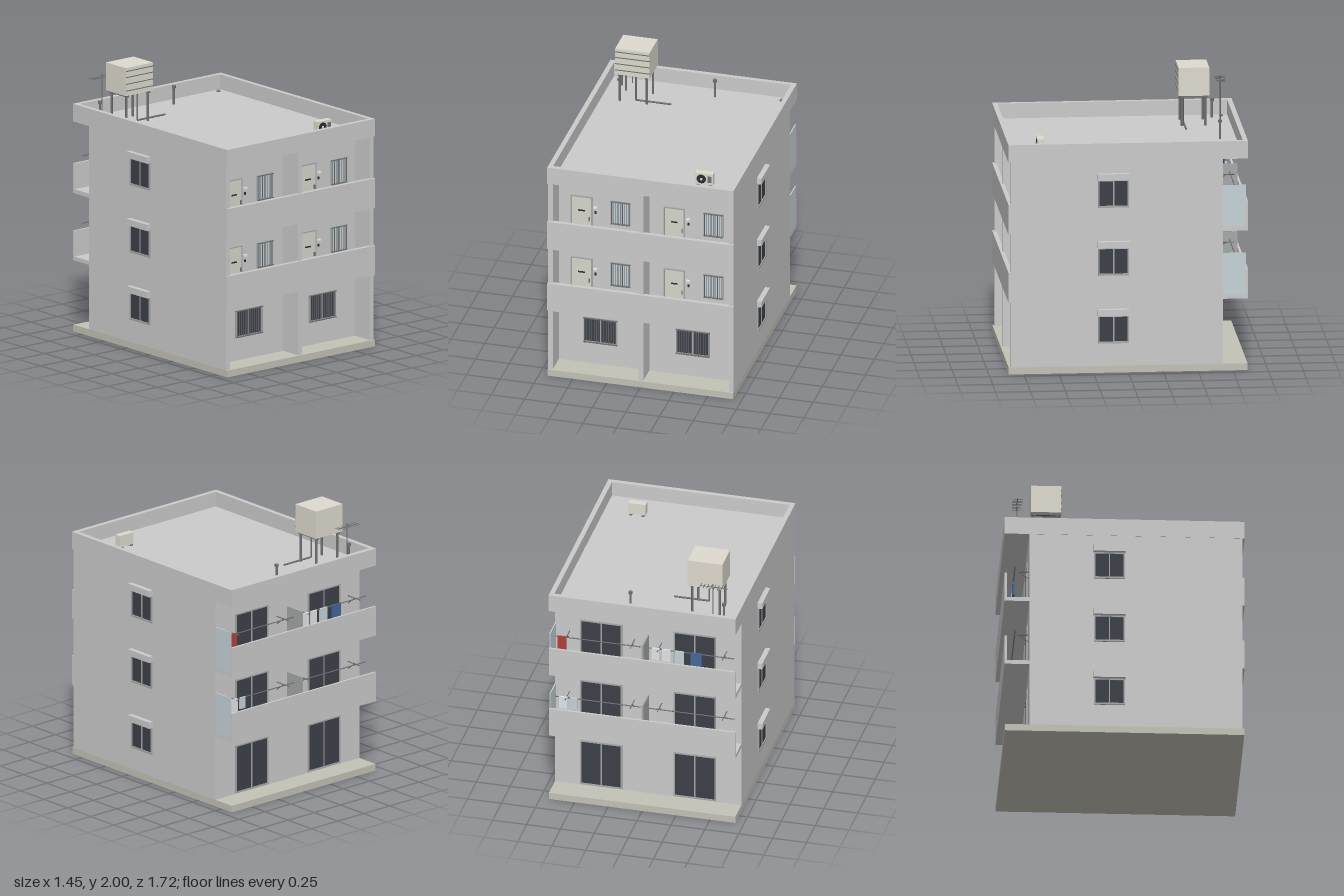
import * as THREE from 'three';

const mat = (color) => new THREE.MeshStandardMaterial({ color });
const grey = mat(0xcccccc), base = mat(0xc4c2b6), dark = mat(0x3c4048), cream = mat(0xdedace),
  doorMat = mat(0xd6d6cc), metal = mat(0x707274), frameMat = mat(0xa6a8a8), glass = mat(0xc6d3d9),
  black = mat(0x2c2c2e), red = mat(0xb04038), blue = mat(0x46669a), white = mat(0xe2e6e8);

const W = 0.688, WALL = 0.68, STOREY = 0.497;

function add(parent, name, geometry, material) {
  const m = new THREE.Mesh(geometry, material);
  m.name = name;
  parent.add(m);
  return m;
}
// Box given by its minimum and maximum on each axis
function box(parent, name, x0, x1, y0, y1, z0, z1, material = grey) {
  const m = add(parent, name, new THREE.BoxGeometry(x1 - x0, y1 - y0, z1 - z0), material);
  m.position.set((x0 + x1) / 2, (y0 + y1) / 2, (z0 + z1) / 2);
  return m;
}
// Round rod between two points
function rod(parent, name, a, b, r, material = metal, sides = 8) {
  const p = new THREE.Vector3(...a), q = new THREE.Vector3(...b);
  const m = add(parent, name, new THREE.CylinderGeometry(r, r, p.distanceTo(q), sides), material);
  m.position.copy(p).add(q).multiplyScalar(0.5);
  m.quaternion.setFromUnitVectors(new THREE.Vector3(0, 1, 0), q.sub(p).normalize());
  return m;
}
// Rectangular ring in the XY plane, extruded along +z
function ring(w, h, t, depth) {
  const s = new THREE.Shape(), o = new THREE.Path();
  const rect = (p, a, b) => p.moveTo(-a, -b).lineTo(a, -b).lineTo(a, b).lineTo(-a, b).closePath();
  rect(s, w / 2, h / 2);
  rect(o, w / 2 - t, h / 2 - t);
  s.holes.push(o);
  return new THREE.ExtrudeGeometry(s, { depth, bevelEnabled: false });
}
// Sliding window facing +z, centred on its own origin
function slidingWindow(name, w, h, pane, bars = 0) {
  const g = new THREE.Group();
  g.name = name;
  add(g, 'windowFrame', ring(w, h, 0.01, 0.01), frameMat);
  box(g, 'windowPane', -w / 2 + 0.008, w / 2 - 0.008, -h / 2 + 0.008, h / 2 - 0.008, -0.005, 0.003, pane);
  box(g, 'windowMullion', -0.005, 0.005, -h / 2 + 0.01, h / 2 - 0.01, 0, 0.007, frameMat);
  for (let i = 0; i < bars; i++) {
    const x = -w / 2 + (w * (i + 0.5)) / bars;
    rod(g, 'windowBar', [x, -h / 2, 0.017], [x, h / 2, 0.017], 0.0025, metal, 6);
  }
  if (bars) for (const y of [-h / 2 + 0.004, h / 2 - 0.004])
    box(g, 'barRail', -w / 2, w / 2, y - 0.003, y + 0.003, 0.008, 0.02, metal);
  return g;
}
function place(parent, obj, x, y, z, ry = 0) {
  obj.position.set(x, y, z);
  obj.rotation.y = ry;
  parent.add(obj);
}

// Entrance door with letter slot, bell and lamp
function entrance(parent, x, floor) {
  const g = new THREE.Group(), w = 0.155, h = 0.34;
  g.name = 'entranceDoor';
  box(g, 'doorLeaf', -w / 2 + 0.006, w / 2 - 0.006, 0, h - 0.006, 0, 0.008, doorMat);
  for (const s of [-1, 1])
    box(g, 'doorJamb', s * (w / 2 - 0.003) - 0.004, s * (w / 2 - 0.003) + 0.004, 0, h, 0, 0.012, frameMat);
  box(g, 'doorHead', -w / 2, w / 2, h - 0.008, h, 0, 0.012, frameMat);
  box(g, 'letterSlot', -0.025, 0.025, 0.221, 0.231, 0.006, 0.012, black);
  box(g, 'doorHandle', 0.056, 0.062, 0.15, 0.18, 0.006, 0.02, metal);
  box(g, 'doorBell', 0.098, 0.11, 0.212, 0.23, 0, 0.01, black);
  box(g, 'wallLamp', 0.09, 0.118, 0.255, 0.267, 0, 0.02, white);
  place(parent, g, x, floor, WALL);
}

function balconyAndCorridor(parent, k) {
  const y = 0.525 + (k - 1) * STOREY, f = y + 0.03;
  const g = new THREE.Group();
  g.name = 'upperStorey';
  parent.add(g);
  box(g, 'corridorSlab', -W, W, y, f, WALL, 0.84);
  box(g, 'corridorParapet', -W - 0.002, W + 0.002, y, y + 0.22, 0.83, 0.86);
  box(g, 'balconySlab', -W, W, y, f, -0.845, -WALL);
  box(g, 'balconyParapet', -W, W, y, y + 0.22, -0.857, -0.84);
  box(g, 'balconyScreen', W - 0.008, W, f, y + 0.335, -0.842, -WALL, glass);
  box(g, 'balconyDivider', -0.006, 0.006, f, y + 0.335, -0.842, -WALL, frameMat);
  for (const x of [-0.483, 0.205]) {
    entrance(g, x, f);
    place(g, slidingWindow('corridorWindow', 0.145, 0.185, glass, 9), x + 0.29, y + 0.27, WALL);
  }
  // Laundry poles on wall brackets
  const py = y + 0.285, pz = -0.78;
  for (const s of [-1, 1]) {
    rod(g, 'laundryPole', [s * 0.03, py, pz], [s * 0.66, py, pz], 0.004);
    for (const x of [0.1, 0.58]) {
      rod(g, 'poleArm', [s * x, py - 0.005, -WALL], [s * x, py - 0.005, -0.81], 0.004);
      rod(g, 'poleBrace', [s * x, py - 0.06, -WALL], [s * x, py - 0.005, -0.75], 0.003);
    }
  }
  const laundry = k === 2
    ? [[0.61, 0.065, 0.13, red], [-0.08, 0.06, 0.09, white], [-0.16, 0.06, 0.09, white], [-0.255, 0.07, 0.1, glass], [-0.38, 0.08, 0.11, blue]]
    : [[0.6, 0.065, 0.09, white], [0.52, 0.05, 0.08, glass]];
  for (const [x, w, h, m] of laundry)
    box(g, 'laundry', x - w / 2, x + w / 2, py - h, py + 0.005, pz - 0.006, pz + 0.006, m);
}

function waterTank(parent) {
  const g = new THREE.Group();
  g.name = 'waterTank';
  parent.add(g);
  box(g, 'tankBody', -0.543, -0.287, 1.793, 2, -0.663, -0.443, cream);
  for (const y of [1.83, 1.88, 1.93, 1.975])
    box(g, 'tankRib', -0.543, -0.287, y - 0.003, y + 0.003, -0.445, -0.439, metal);
  for (const x of [-0.515, -0.315]) {
    for (const z of [-0.635, -0.47]) rod(g, 'tankLeg', [x, 1.57, z], [x, 1.795, z], 0.009);
    box(g, 'tankBeam', x - 0.01, x + 0.01, 1.778, 1.793, -0.655, -0.45, metal);
  }
  rod(g, 'tankDownPipe', [-0.4, 1.585, -0.485], [-0.4, 1.795, -0.485], 0.006);
  rod(g, 'tankFeedPipe', [-0.4, 1.585, -0.485], [-0.14, 1.585, -0.485], 0.007);
}

function roofFittings(parent) {
  // Antenna
  rod(parent, 'antennaMast', [-0.5, 1.57, -0.76], [-0.5, 1.89, -0.76], 0.004);
  rod(parent, 'antennaBoom', [-0.605, 1.865, -0.76], [-0.405, 1.865, -0.76], 0.003);
  for (let i = 0; i < 8; i++) {
    const x = -0.59 + i * 0.026, l = 0.04 - i * 0.0015;
    rod(parent, 'antennaElement', [x, 1.866, -0.76 - l], [x, 1.866, -0.76 + l], 0.002, metal, 6);
  }
  // Vents and drains
  for (const x of [-0.565, 0.125]) {
    rod(parent, 'ventPipe', [x, 1.57, -0.705], [x, 1.695, -0.705], 0.008, metal, 12);
    rod(parent, 'ventCap', [x, 1.69, -0.705], [x, 1.71, -0.705], 0.014, metal, 16);
  }
  for (const x of [-0.605, 0.6]) {
    const d = add(parent, 'roofDrain', new THREE.SphereGeometry(0.015, 16, 8, 0, Math.PI * 2, 0, Math.PI / 2), metal);
    d.position.set(x, 1.57, -0.775);
  }
  // Air conditioner outdoor unit
  const g = new THREE.Group();
  g.name = 'airConditioner';
  parent.add(g);
  box(g, 'unitCase', 0.345, 0.475, 1.58, 1.668, 0.585, 0.633, cream);
  for (const x of [0.365, 0.455]) box(g, 'unitFoot', x - 0.01, x + 0.01, 1.57, 1.58, 0.582, 0.636, metal);
  rod(g, 'unitFan', [0.39, 1.624, 0.63], [0.39, 1.624, 0.636], 0.034, black, 24);
  rod(g, 'fanHub', [0.39, 1.624, 0.632], [0.39, 1.624, 0.639], 0.01, cream, 16);
  box(g, 'unitGrille', 0.437, 0.465, 1.6, 1.65, 0.63, 0.635, metal);
}

export function createModel() {
  const model = new THREE.Group();
  model.name = 'apartmentBlock';

  // Base, body and the fins that frame the corridors
  box(model, 'baseSlab', -W, W, 0, 0.05, -0.855, 0.858, base);
  box(model, 'building', -W, W, 0.05, 1.56, -WALL, WALL);
  for (const [a, b] of [[-W, -0.652], [-0.018, 0.018], [0.652, W]])
    box(model, 'corridorFin', a, b, 0.05, 1.56, WALL, 0.845);

  // Roof slab with parapet
  box(model, 'roofSlab', -W + 0.01, W - 0.01, 1.55, 1.57, -0.845, 0.85);
  const parapet = add(model, 'roofParapet', ring(2 * W + 0.004, 1.717, 0.035, 0.13), grey);
  parapet.rotation.x = -Math.PI / 2;
  parapet.position.set(0, 1.55, 0.0015);

  for (const k of [1, 2]) balconyAndCorridor(model, k);
  for (const s of [-1, 1])
    place(model, slidingWindow('groundFrontWindow', 0.25, 0.2, dark, 14), s * 0.342, 0.32, WALL);

  // Side windows with hoods, and balcony doors, on every storey
  for (let k = 0; k < 3; k++) {
    const y = k * STOREY;
    for (const s of [-1, 1]) {
      const z = s * 0.107;
      place(model, slidingWindow('sideWindow', 0.22, 0.2, dark), s * W, 0.32 + y, z, s * Math.PI / 2);
      const hood = box(model, 'windowHood', -0.018, 0.018, 0.42 + y, 0.467 + y, z - 0.114, z + 0.114);
      hood.position.x = s * (W + 0.018);
      box(model, 'windowSill', s * (W + 0.004) - 0.006, s * (W + 0.004) + 0.006, 0.216 + y, 0.224 + y, z - 0.11, z + 0.11, frameMat);
      place(model, slidingWindow('balconyDoor', 0.31, 0.36, dark), s * 0.345, 0.238 + y, -WALL, Math.PI);
    }
  }

  waterTank(model);
  roofFittings(model);
  return model;
}
